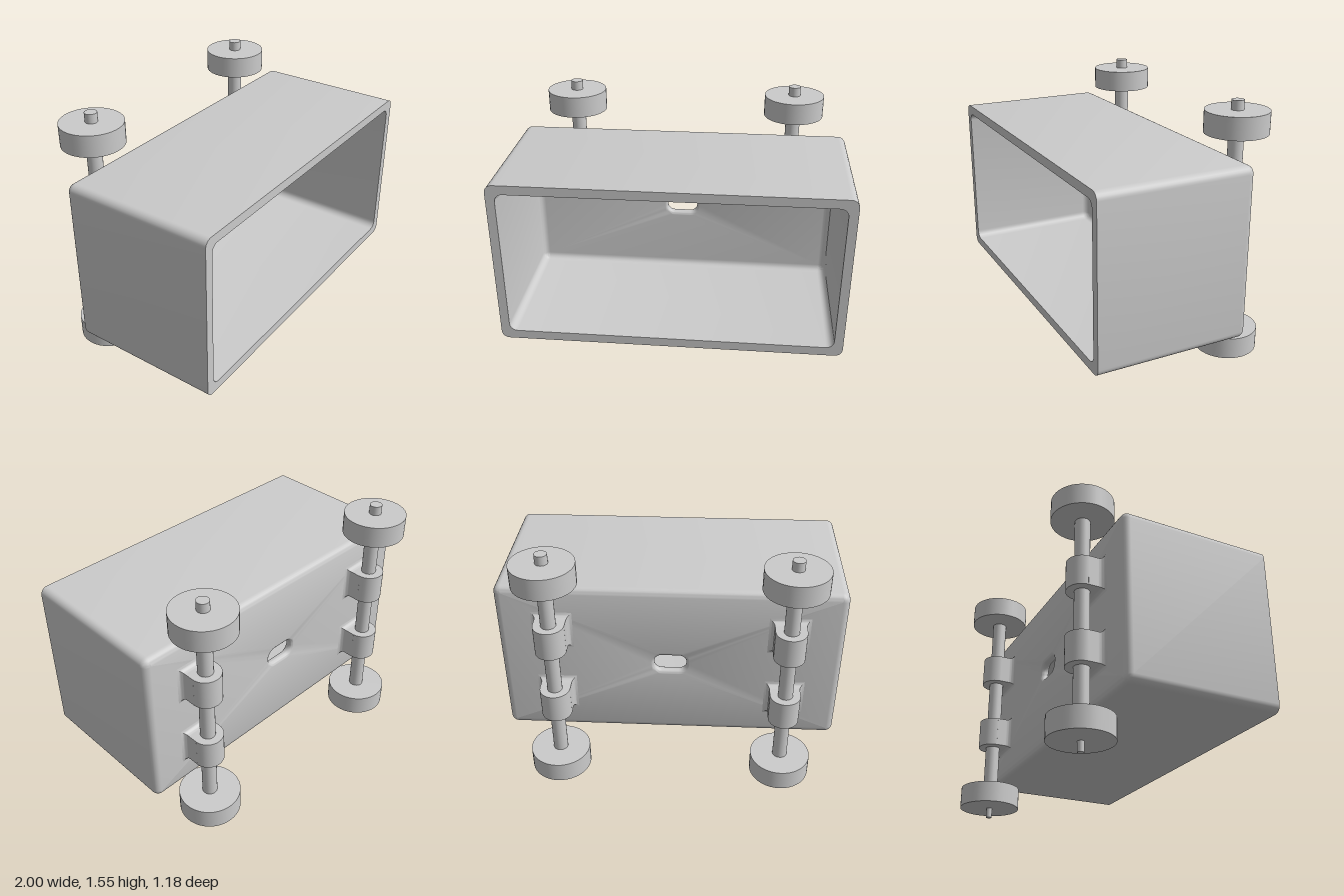
import * as THREE from 'three';
import { toCreasedNormals } from 'three/addons/utils/BufferGeometryUtils.js';

const material = new THREE.MeshStandardMaterial({ color: 0xcccccc });

function addMesh(parent, name, geometry, x = 0, y = 0, z = 0) {
  const mesh = new THREE.Mesh(geometry, material);
  mesh.name = name;
  mesh.position.set(x, y, z);
  parent.add(mesh);
  return mesh;
}

// Rounded rectangle ring, counter-clockwise seen from +z
function ring(w, h, r, z) {
  const points = [];
  const steps = 6;
  [[1, 1], [-1, 1], [-1, -1], [1, -1]].forEach(([sx, sy], corner) => {
    for (let i = 0; i <= steps; i++) {
      const a = (corner + i / steps) * Math.PI / 2;
      points.push([sx * (w - r) + r * Math.cos(a), sy * (h - r) + r * Math.sin(a), z]);
    }
  });
  return points;
}

// Closed skin through a loop of rings
function loftLoop(rings) {
  const positions = [];
  rings.forEach((current, i) => {
    const next = rings[(i + 1) % rings.length];
    current.forEach((a, j) => {
      const k = (j + 1) % current.length;
      positions.push(...a, ...next[j], ...next[k], ...a, ...next[k], ...current[k]);
    });
  });
  const geometry = new THREE.BufferGeometry();
  geometry.setAttribute('position', new THREE.Float32BufferAttribute(positions, 3));
  return toCreasedNormals(geometry, 0.6);
}

// Open tub: outside, rounded back, slot through the back wall, inside
function tubGeometry() {
  const front = 0.59, back = -0.32, floor = -0.265;
  const steps = 6, edge = 0.04, lip = 0.024;
  const rings = [ring(1, 0.5, 0.045, front)];
  const arc = (i) => (i / steps) * Math.PI / 2;
  for (let i = 0; i <= steps; i++) {
    const d = edge * (1 - Math.cos(arc(i)));
    rings.push(ring(1 - d, 0.5 - d, 0.045 - d, back + edge - edge * Math.sin(arc(i))));
  }
  const slot = (d, z) => ring(0.095 + d, 0.052 + d, 0.045 + d, z);
  for (let i = 0; i <= steps; i++) {
    rings.push(slot(lip * (1 - Math.sin(arc(i))), back + lip * (1 - Math.cos(arc(i)))));
  }
  for (let i = 0; i <= steps; i++) {
    rings.push(slot(lip * (1 - Math.cos(arc(i))), floor - lip * (1 - Math.sin(arc(i)))));
  }
  for (let i = 0; i <= steps; i++) {
    const d = edge * (1 - Math.sin(arc(i)));
    rings.push(ring(0.948 - d, 0.446 - d, 0.045 - d, floor + edge * (1 - Math.cos(arc(i)))));
  }
  rings.push(ring(0.948, 0.446, 0.045, front));
  return loftLoop(rings);
}

// Bracket stem that flares out in a fillet where it meets the tub (z = 0)
function stemGeometry(half, length, fillet) {
  const geometry = new THREE.BoxGeometry(2 * half, 2 * half, length, 1, 1, 16);
  geometry.translate(0, 0, -length / 2);
  const p = geometry.attributes.position;
  for (let i = 0; i < p.count; i++) {
    const t = Math.max(0, fillet + p.getZ(i));
    const flare = fillet - Math.sqrt(Math.max(0, fillet * fillet - t * t));
    p.setX(i, Math.sign(p.getX(i)) * (half + flare));
    p.setY(i, Math.sign(p.getY(i)) * (half + flare));
  }
  return toCreasedNormals(geometry, 0.6);
}

export function createModel() {
  const model = new THREE.Group();
  model.name = 'cart';
  addMesh(model, 'tub', tubGeometry(), 0, 0.778, 0);

  const axleZ = -0.41;
  const cylinder = (r, h, sides = 40) => new THREE.CylinderGeometry(r, r, h, sides);
  const stem = stemGeometry(0.09, 0.095, 0.035);

  for (const side of [1, -1]) {
    const wheelset = new THREE.Group();
    wheelset.name = side > 0 ? 'leftWheelset' : 'rightWheelset';
    wheelset.position.set(0.68 * side, 0, axleZ);
    model.add(wheelset);

    // Axle with its wheels and end pins
    addMesh(wheelset, 'axle', cylinder(0.044, 1.2, 24), 0, 0.775, 0);
    addMesh(wheelset, 'lowerWheel', cylinder(0.181, 0.126), 0, 0.121, 0);
    addMesh(wheelset, 'upperWheel', cylinder(0.181, 0.128), 0, 1.431, 0);
    addMesh(wheelset, 'lowerPin', cylinder(0.018, 0.08, 16), 0, 0.04, 0);
    addMesh(wheelset, 'upperPin', cylinder(0.036, 0.08, 24), 0, 1.51, 0);

    // Bearing brackets on the tub
    for (const y of [0.55, 1.002]) {
      addMesh(wheelset, 'bearing', cylinder(0.09, 0.18), 0, y, 0);
      addMesh(wheelset, 'bracketStem', stem, 0, y, -0.318 - axleZ);
    }
  }
  return model;
}
